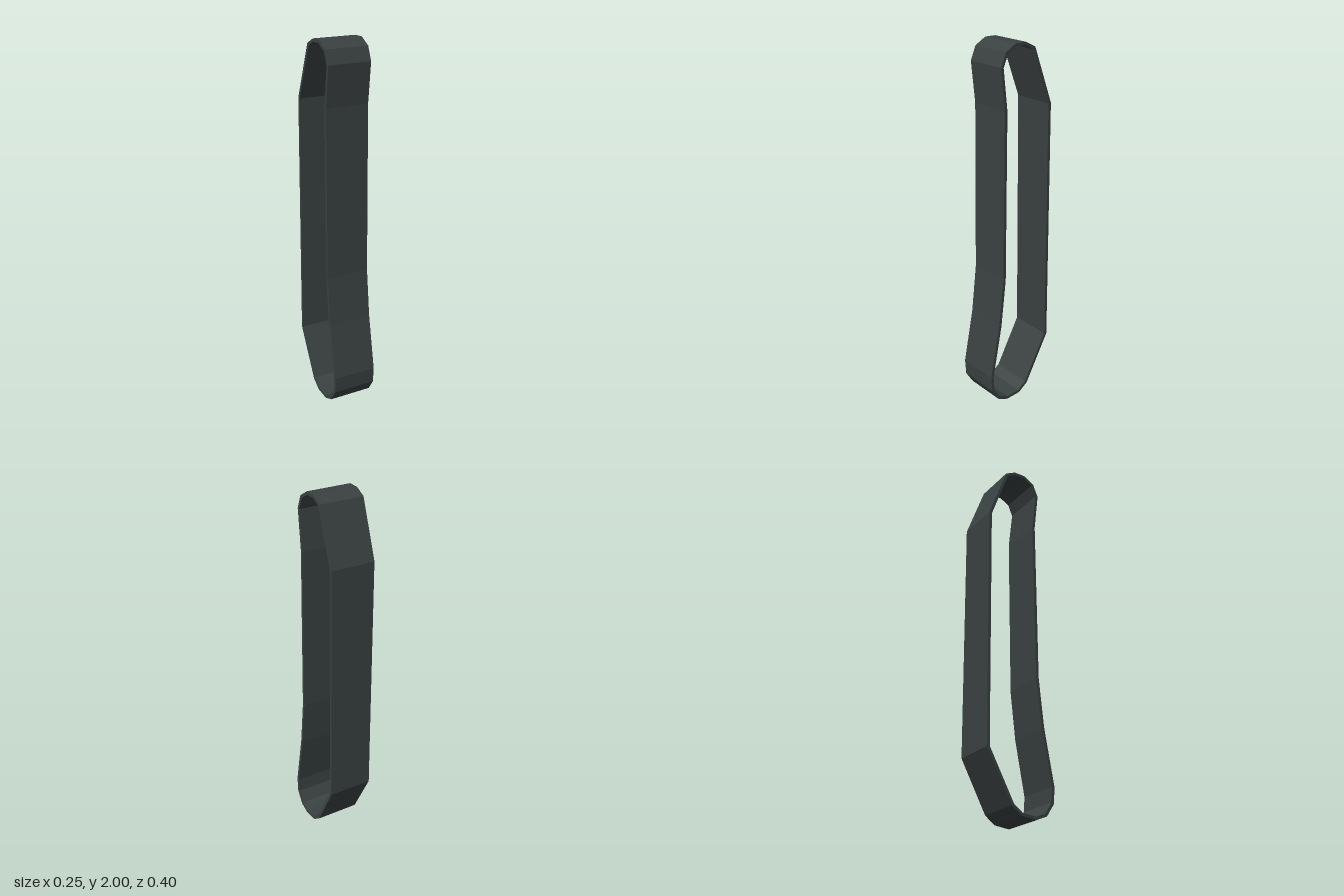
import * as THREE from 'three';

const WIDTH = 0.245;
const THICKNESS = 0.016;

// Outer side profile of the band as [z, y], counter-clockwise
const PROFILE = [
  [0.034, 2], [-0.03, 2], [-0.09, 1.97], [-0.2, 1.67], [-0.2, 0.325],
  [-0.056, 0.053], [0, 0.01], [0.087, 0], [0.15, 0.025], [0.194, 0.093],
  [0.2, 0.18], [0.143, 0.484], [0.114, 0.75], [0.103, 1.67], [0.127, 1.89], [0.097, 1.963],
].map(([z, y]) => new THREE.Vector2(z, y));

// Mitred inward offset of a closed counter-clockwise outline
function inset(points, distance) {
  const n = points.length;
  const inward = (a, b) => {
    const d = b.clone().sub(a).normalize();
    return new THREE.Vector2(-d.y, d.x);
  };
  return points.map((p, i) => {
    const n1 = inward(points[(i + n - 1) % n], p);
    const n2 = inward(p, points[(i + 1) % n]);
    const mitre = n1.clone().add(n2).normalize();
    return p.clone().addScaledVector(mitre, distance / mitre.dot(n1));
  });
}

export function createModel() {
  const model = new THREE.Group();
  model.name = 'trackBand';
  const darkRubber = new THREE.MeshStandardMaterial({ color: 0x3a4141 });
  darkRubber.name = 'darkRubber';

  // Thin closed belt, open through both sides
  const shape = new THREE.Shape(PROFILE);
  shape.holes.push(new THREE.Path(inset(PROFILE, THICKNESS)));
  const geometry = new THREE.ExtrudeGeometry(shape, { depth: WIDTH, bevelEnabled: false });
  geometry.translate(0, 0, -WIDTH / 2);
  geometry.rotateY(-Math.PI / 2);

  const belt = new THREE.Mesh(geometry, darkRubber);
  belt.name = 'belt';
  model.add(belt);
  return model;
}
